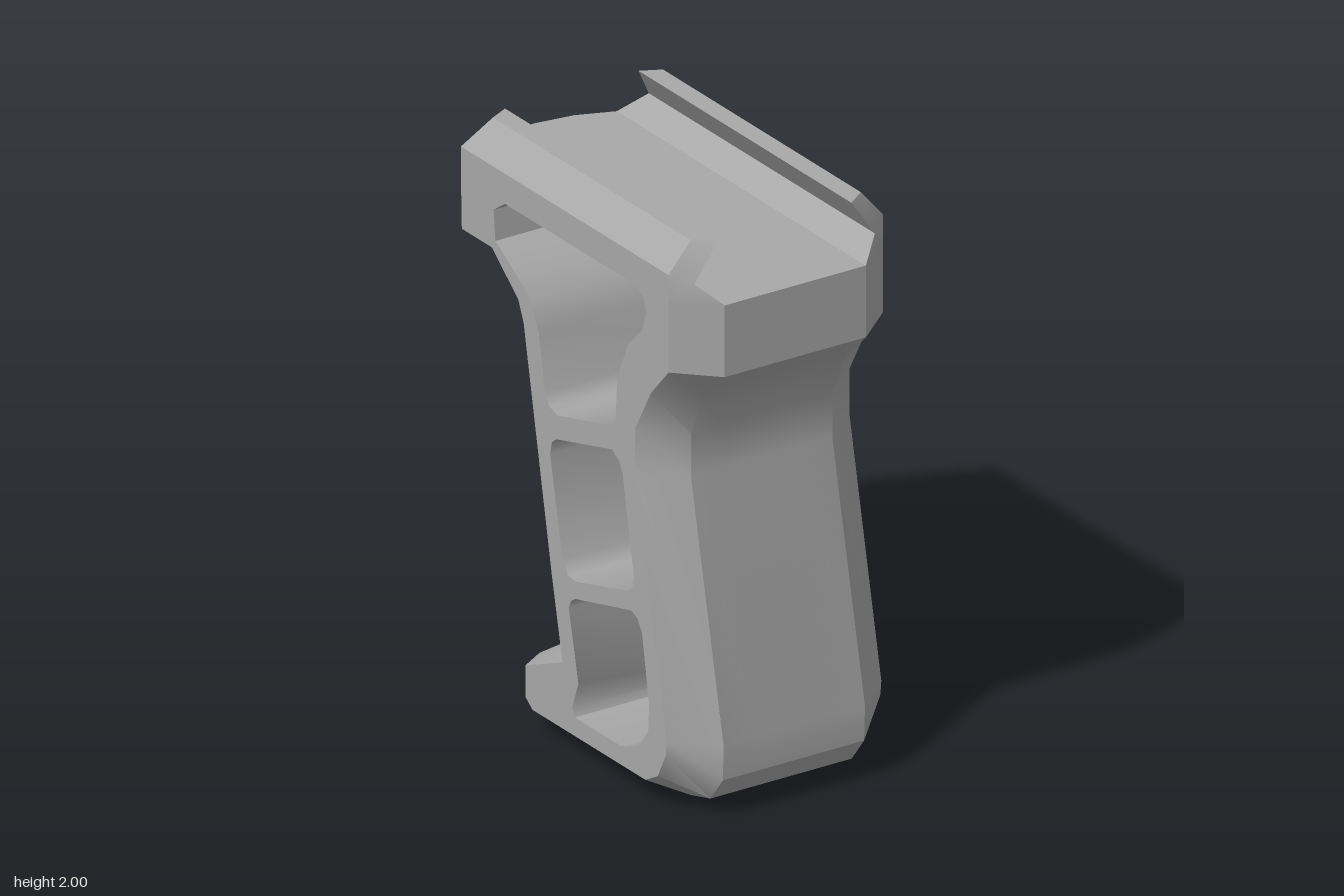
import * as THREE from 'three';
import { toCreasedNormals } from 'three/addons/utils/BufferGeometryUtils.js';

const HALF = 0.41;
const COLS = [HALF, 0.27, 0.14, 0, -0.14, -0.27, -HALF];

// How far each column has moved from the side outline to the centre outline
const BLEND = {
  front: [0, 1, 1, 1],
  bottom: [0, 0.78, 0.89, 1],
  back: [0, 0.64, 0.9, 1],
};

// Outline of the grip: side z, side y, centre z, centre y, blend
const PROFILE = [
  [0.63, 1.8, 0.74, 1.8, 'front'],
  [0.63, 1.56, 0.74, 1.55, 'front'],
  [0.53, 1.45, 0.62, 1.43, 'front'],
  [0.44, 1.29, 0.55, 1.28, 'front'],
  [0.44, 1.13, 0.55, 1.13, 'front'],
  [0.62, 0.27, 0.735, 0.26, 'front'],
  [0.615, 0.22, 0.73, 0.14, 'front'],
  [0.57, 0.13, 0.66, 0.05, 'front'],
  [0.5, 0.09, 0.55, 0.02, 'front'],
  [-0.14, 0.09, -0.33, 0, 'bottom'],
  [-0.18, 0.12, -0.385, 0.1, 'back'],
  [-0.18, 0.23, -0.38, 0.165, 'back'],
  [0.03, 0.32, -0.2, 0.28, 'back'],
  [-0.03, 0.6, -0.24, 0.6, 'back'],
  [-0.19, 1.42, -0.39, 1.36, 'back'],
  [-0.22, 1.49, -0.43, 1.42, 'back'],
  [-0.37, 1.615, -0.57, 1.54, 'back'],
  [-0.54, 1.615, -0.74, 1.55, 'back'],
  [-0.545, 1.8, -0.74, 1.8, 'back'],
];

// Openings through the grip as z, y
const HOLES = [
  [[0.445, 1.795], [0.49, 1.765], [0.505, 1.72], [0.48, 1.65], [0.4, 1.57], [0.34, 1.43],
    [0.33, 1.28], [0.3, 1.25], [0, 1.17], [-0.045, 1.185], [-0.07, 1.225], [-0.105, 1.42],
    [-0.155, 1.52], [-0.275, 1.6], [-0.35, 1.645], [-0.36, 1.75], [-0.295, 1.795]],
  [[0.31, 1.17], [0.35, 1.145], [0.37, 1.11], [0.435, 0.77], [0.425, 0.73], [0.395, 0.71],
    [0.105, 0.63], [0.06, 0.635], [0.03, 0.68], [-0.04, 1.02], [-0.03, 1.065], [-0.005, 1.085]],
  [[0.42, 0.65], [0.455, 0.635], [0.48, 0.595], [0.52, 0.36], [0.515, 0.265], [0.455, 0.185],
    [0.36, 0.155], [0.1, 0.155], [0.085, 0.185], [0.12, 0.28], [0.065, 0.525], [0.08, 0.555],
    [0.105, 0.57]],
];

// Accessory rail section: x, y, front z, back z
const RAIL = [
  [0.27, 1.8, 0.74, -0.67],
  [0.41, 1.8, 0.63, -0.545],
  [0.41, 1.9, 0.63, -0.545],
  [0.325, 2, 0.63, -0.49],
  [0.255, 2, 0.68, -0.525],
  [0.345, 1.87, 0.68, -0.6],
];

// Triangles of a strip grid whose rows close into a loop
function loopTriangles(rows) {
  const tris = [];
  rows.forEach((row, i) => {
    const next = rows[(i + 1) % rows.length];
    for (let j = 0; j < row.length - 1; j++) {
      tris.push([row[j], row[j + 1], next[j]], [row[j + 1], next[j + 1], next[j]]);
    }
  });
  return tris;
}

function fromTriangles(tris, crease = 0.6) {
  const geometry = new THREE.BufferGeometry();
  geometry.setAttribute('position', new THREE.Float32BufferAttribute(tris.flat(2), 3));
  return toCreasedNormals(geometry, crease);
}

export function createModel() {
  const group = new THREE.Group();
  const grey = new THREE.MeshStandardMaterial({ color: 0xa8a8a8 });
  grey.name = 'grey';
  const add = (name, geometry) => {
    const mesh = new THREE.Mesh(geometry, grey);
    mesh.name = name;
    group.add(mesh);
  };

  // Outer skin wrapped from one side to the other, including the groove floor
  const skin = PROFILE.map(([sz, sy, cz, cy, type]) => COLS.map((x, j) => {
    const t = BLEND[type][Math.min(j, COLS.length - 1 - j)];
    return [x, sy + (cy - sy) * t, sz + (cz - sz) * t];
  }));
  add('gripShell', fromTriangles(loopTriangles(skin)));

  // Inner walls of the three openings
  HOLES.forEach((hole) => {
    const rows = hole.map(([z, y]) => [[-HALF, y, z], [HALF, y, z]]);
    add('openingWall', fromTriangles(loopTriangles(rows), 0.9));
  });

  for (const s of [1, -1]) {
    // Flat side frame with openings
    const toPoints = (list) => list.map(([z, y]) => new THREE.Vector2(-s * z, y));
    const shape = new THREE.Shape(toPoints(PROFILE));
    shape.holes = HOLES.map((hole) => new THREE.Path(toPoints(hole)));
    const side = new THREE.ShapeGeometry(shape);
    side.rotateY(s * Math.PI / 2).translate(s * HALF, 0, 0);
    add(s > 0 ? 'leftSideFrame' : 'rightSideFrame', side);

    // Dovetail rail with fanned end caps
    const front = RAIL.map(([x, y, zf]) => [s * x, y, zf]);
    const back = RAIL.map(([x, y, , zb]) => [s * x, y, zb]);
    const tris = loopTriangles(RAIL.map((_, i) => [front[i], back[i]]));
    for (let i = 0; i < 4; i++) {
      tris.push([front[5], front[i], front[i + 1]], [back[5], back[i + 1], back[i]]);
    }
    if (s < 0) tris.forEach((t) => t.reverse());
    add(s > 0 ? 'leftRail' : 'rightRail', fromTriangles(tris));
  }
  return group;
}
